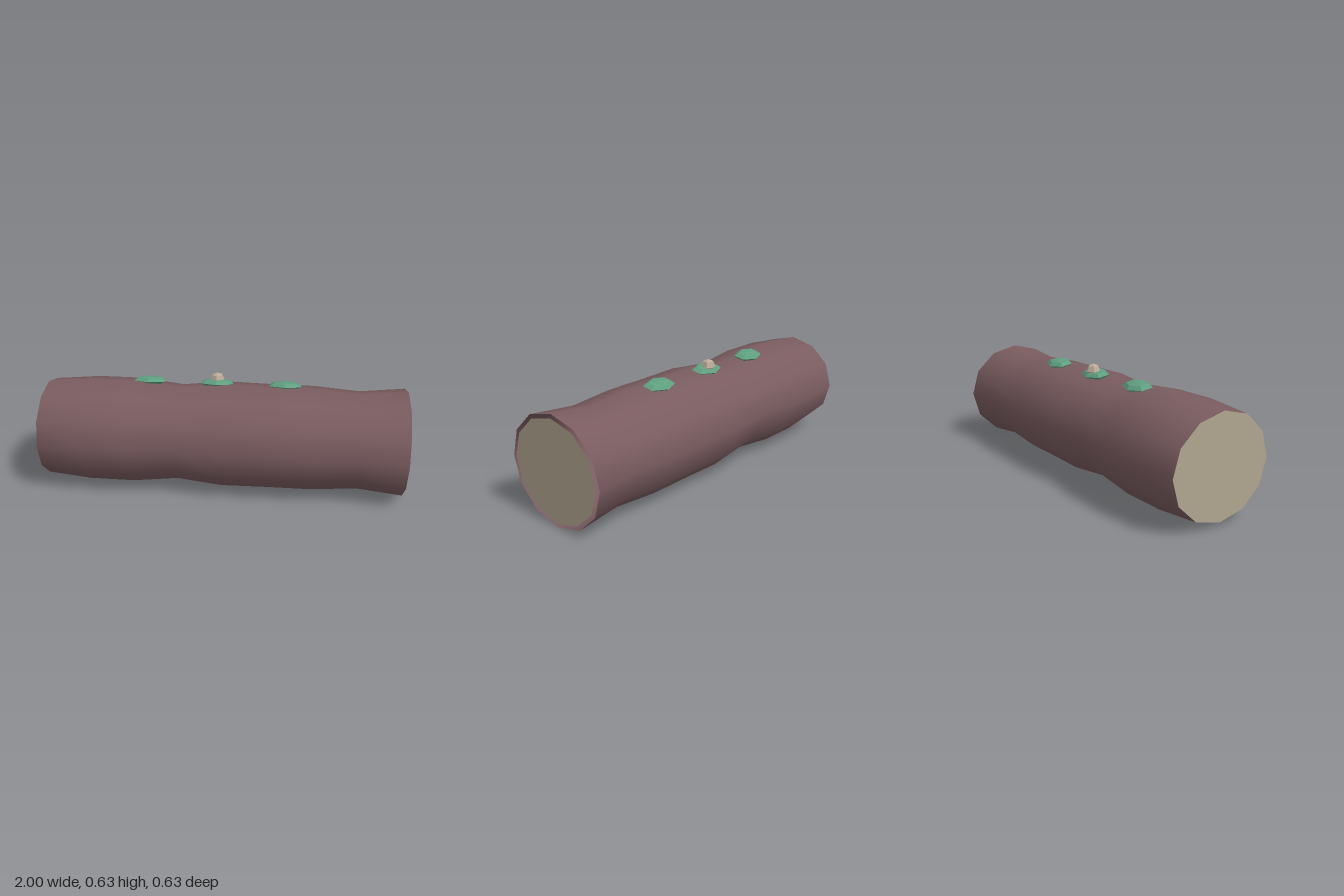
import * as THREE from 'three';
import { mergeVertices } from 'three/addons/utils/BufferGeometryUtils.js';

const CENTRE_Y = 0.294;   // height of the log's axis
const WIDEN = 1.077;      // the log is slightly wider than tall
const SIDES = 12;
const RADII = [0.27, 0.292, 0.292, 0.265, 0.291, 0.287, 0.286, 0.267, 0.292]; // from -x to +x

export function createModel() {
  const bark = new THREE.MeshStandardMaterial({ color: 0x7a5c60, side: THREE.DoubleSide });
  bark.name = 'bark';
  const wood = new THREE.MeshStandardMaterial({ color: 0xb0a590 });
  wood.name = 'cut wood';
  const moss = new THREE.MeshStandardMaterial({ color: 0x5f9f80, flatShading: true });
  moss.name = 'moss';
  const cream = new THREE.MeshStandardMaterial({ color: 0xbaaa98, flatShading: true });
  cream.name = 'mushroom cream';

  const group = new THREE.Group();
  group.name = 'log';
  const add = (name, geometry, material, x, y, z) => {
    const mesh = new THREE.Mesh(geometry, material);
    mesh.name = name;
    mesh.position.set(x, y, z);
    group.add(mesh);
    return mesh;
  };

  // Open bark tube whose radius changes from ring to ring
  let tube = new THREE.CylinderGeometry(1, 1, 2, SIDES, RADII.length - 1, true).rotateZ(-Math.PI / 2);
  const pos = tube.attributes.position;
  for (let i = 0; i < pos.count; i++) {
    const x = pos.getX(i);
    const r = RADII[Math.round((x + 1) * (RADII.length - 1) / 2)];
    pos.setXYZ(i, x * 0.998, pos.getY(i) * r, pos.getZ(i) * r * WIDEN);
  }
  tube.deleteAttribute('uv');
  tube.deleteAttribute('normal');
  tube = mergeVertices(tube);
  tube.computeVertexNormals();
  add('barkTube', tube, bark, 0, CENTRE_Y, 0);

  // Cut ends, leaving a narrow rim of bark where the tube flares
  for (const side of [-1, 1]) {
    const disc = new THREE.CircleGeometry(0.27, SIDES).scale(WIDEN, 1, 1).rotateY(side * Math.PI / 2);
    add(side > 0 ? 'leftCutEnd' : 'rightCutEnd', disc, wood, side, CENTRE_Y, 0);
  }

  // Flattened moss pads lying on the back slope of the top
  for (const x of [-0.425, -0.045, 0.335]) {
    const pad = new THREE.SphereGeometry(1, 6, 4).rotateY(Math.PI / 2).scale(0.1, 0.024, 0.067);
    add('mossPad', pad, moss, x, 0.575, -0.053).rotation.x = -0.18;
  }

  // Small mushroom on the middle pad
  const knob = new THREE.SphereGeometry(0.042, 6, 4).rotateY(Math.PI / 2);
  add('mushroomCap', knob, cream, -0.045, 0.591, -0.064);

  return group;
}
